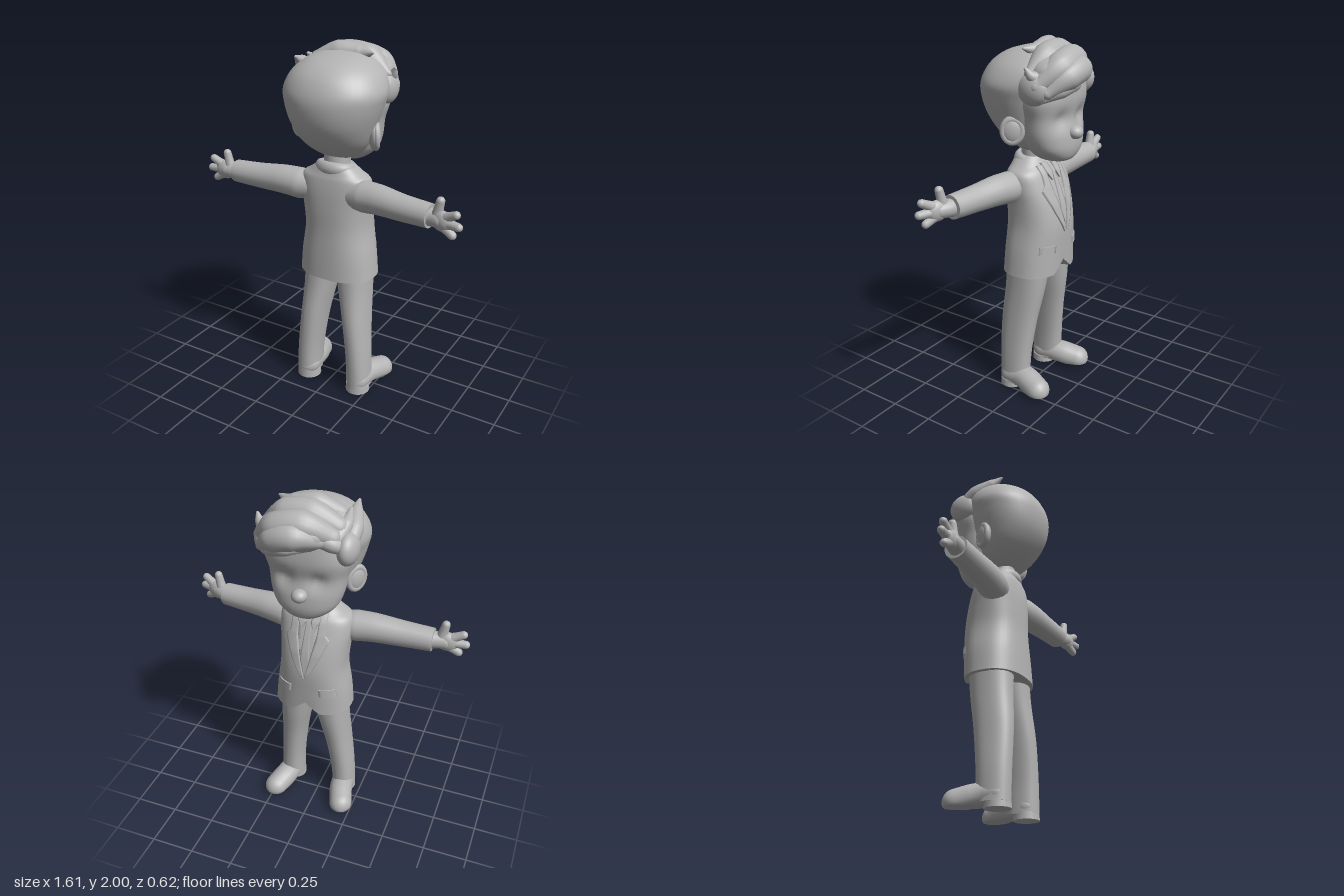
import * as THREE from 'three';

const CX = 0.022; // body centre line
const grey = new THREE.MeshStandardMaterial({ color: 0xb4b4b4 });
grey.name = 'clay grey';

// Closed skin over a list of rings, capped at both ends
function skin(rings) {
  const n = rings[0].length, pos = [], idx = [];
  rings.forEach(r => r.forEach(p => pos.push(p.x, p.y, p.z)));
  for (let i = 0; i < rings.length - 1; i++) for (let j = 0; j < n; j++) {
    const a = i * n + j, b = i * n + (j + 1) % n;
    idx.push(a, a + n, b, b, a + n, b + n);
  }
  [rings[0], rings[rings.length - 1]].forEach((r, end) => {
    const start = pos.length / 3, c = new THREE.Vector3();
    r.forEach(p => { pos.push(p.x, p.y, p.z); c.addScaledVector(p, 1 / n); });
    pos.push(c.x, c.y, c.z);
    for (let j = 0; j < n; j++) {
      const a = start + j, b = start + (j + 1) % n;
      end ? idx.push(a, start + n, b) : idx.push(a, b, start + n);
    }
  });
  const g = new THREE.BufferGeometry();
  g.setAttribute('position', new THREE.Float32BufferAttribute(pos, 3));
  g.setIndex(idx);
  g.computeVertexNormals();
  return g;
}

const power = (v, p) => Math.sign(v) * Math.abs(v) ** p;

// Upright loft through rows of [y, xMin, xMax, zFront, zBack]
function loft(rows, n = 2, tweak = null, steps = 6, segs = 40) {
  const lower = new THREE.CatmullRomCurve3(rows.map(r => new THREE.Vector3(r[1], r[0], r[3])));
  const upper = new THREE.CatmullRomCurve3(rows.map(r => new THREE.Vector3(r[2], r[0], r[4])));
  const rings = [], count = (rows.length - 1) * steps;
  for (let i = 0; i <= count; i++) {
    const a = lower.getPoint(i / count), b = upper.getPoint(i / count), ring = [];
    for (let j = 0; j < segs; j++) {
      const t = j / segs * Math.PI * 2;
      const p = new THREE.Vector3((a.x + b.x) / 2 + (b.x - a.x) / 2 * power(Math.cos(t), 2 / n), (a.y + b.y) / 2,
        (a.z + b.z) / 2 + (b.z - a.z) / 2 * power(Math.sin(t), 2 / n));
      if (tweak) tweak(p);
      ring.push(p);
    }
    rings.push(ring);
  }
  return skin(rings);
}

// Round limb along a curve with changing radius; rounded ends on request
function rod(points, radii, { round = true, tweak = null, segs = 18, steps = 24 } = {}) {
  const curve = new THREE.CatmullRomCurve3(points.map(p => new THREE.Vector3(...p)));
  const frames = curve.computeFrenetFrames(steps), rings = [];
  const addRing = (i, shift, scale) => {
    const f = i / steps * (radii.length - 1), k = Math.min(Math.floor(f), radii.length - 2);
    const r = THREE.MathUtils.lerp(radii[k], radii[k + 1], f - k);
    const c = curve.getPoint(i / steps).addScaledVector(frames.tangents[i], shift * r);
    rings.push(Array.from({ length: segs }, (_, j) => {
      const t = -j / segs * Math.PI * 2;
      const p = c.clone().addScaledVector(frames.normals[i], Math.cos(t) * r * scale)
        .addScaledVector(frames.binormals[i], Math.sin(t) * r * scale);
      if (tweak) tweak(p);
      return p;
    }));
  };
  const dome = [0.1, 0.35, 0.6, 0.85, 1.1, 1.35];
  if (round) dome.forEach(a => addRing(0, -Math.cos(a), Math.sin(a)));
  for (let i = 0; i <= steps; i++) addRing(i, 0, 1);
  if (round) dome.slice().reverse().forEach(a => addRing(steps, Math.cos(a), Math.sin(a)));
  return skin(rings);
}

function ball(x, y, z, rx, ry, rz, turn = 0) {
  return new THREE.SphereGeometry(1, 28, 20).scale(rx, ry, rz).rotateY(turn).translate(x, y, z);
}

// Jacket cross-sections, also used to lay details on its front
const torsoRows = [
  [0.72, -0.2, 0.245, -0.15, 0.18], [0.85, -0.19, 0.23, -0.155, 0.175], [1.0, -0.17, 0.207, -0.16, 0.168],
  [1.12, -0.178, 0.208, -0.14, 0.167], [1.22, -0.19, 0.217, -0.105, 0.162], [1.29, -0.18, 0.212, -0.075, 0.152],
  [1.325, -0.13, 0.17, -0.05, 0.142], [1.37, -0.07, 0.12, -0.02, 0.13]];
const POWER = 2.4;
function frontZ(x, y) {
  let k = 0;
  while (k < torsoRows.length - 2 && torsoRows[k + 1][0] < y) k++;
  const a = torsoRows[k], b = torsoRows[k + 1];
  const [, x0, x1, zf, zb] = a.map((v, i) => THREE.MathUtils.lerp(v, b[i], (y - a[0]) / (b[0] - a[0])));
  const u = Math.min(1, Math.abs((x - (x0 + x1) / 2) / ((x1 - x0) / 2)));
  return (zf + zb) / 2 - (zb - zf) / 2 * (1 - u ** POWER) ** (1 / POWER);
}
// Thin plate on the jacket: rows of [y, inner, outer] measured from the centre line
function plate(rows, side, lift) {
  const rings = [];
  for (let k = 0; k < rows.length - 1; k++) for (let i = k ? 1 : 0; i <= 6; i++) {
    const [y, a, b] = rows[k].map((v, c) => THREE.MathUtils.lerp(v, rows[k + 1][c], i / 6));
    const lo = CX + Math.min(a * side, b * side), hi = CX + Math.max(a * side, b * side);
    const xs = Array.from({ length: 7 }, (_, j) => lo + (hi - lo) * j / 6);
    rings.push([...xs.map(x => new THREE.Vector3(x, y, frontZ(x, y) - lift)),
      ...xs.slice().reverse().map(x => new THREE.Vector3(x, y, frontZ(x, y) + 0.01))]);
  }
  return skin(rings);
}

export function createModel() {
  const model = new THREE.Group();
  const add = (name, geometry) => {
    const m = new THREE.Mesh(geometry, grey);
    m.name = name;
    model.add(m);
  };

  // Jacket with a small cutaway at the front hem
  add('jacket', loft(torsoRows, POWER, p => {
    if (p.z < 0 && p.y < 0.85) p.y += 0.07 * Math.max(0, 1 - Math.abs(p.x - CX) / 0.08) * (0.85 - p.y) / 0.13;
  }));
  add('shirt', plate([[1.0, -0.004, 0.004], [1.18, -0.05, 0.05], [1.32, -0.06, 0.06]], 1, 0.001));
  add('tie', plate([[1.01, -0.003, 0.003], [1.08, -0.026, 0.026], [1.27, -0.014, 0.014], [1.31, -0.024, 0.024]], 1, 0.006));
  add('jacketCollar', new THREE.TorusGeometry(0.084, 0.026, 12, 36).scale(1.05, 0.85, 1.3).rotateX(Math.PI / 2 - 0.2)
    .translate(CX, 1.342, 0.055));
  add('neck', new THREE.CylinderGeometry(0.07, 0.075, 0.16, 24).translate(CX, 1.38, 0.04));
  for (const s of [-1, 1]) {
    add('lapel', plate([[0.96, 0.0, 0.012], [1.08, 0.026, 0.075], [1.2, 0.05, 0.125], [1.23, 0.055, 0.1], [1.33, 0.06, 0.095]], s, 0.008));
    add('shirtCollar', plate([[1.25, 0.03, 0.036], [1.29, 0.014, 0.06], [1.34, 0.02, 0.065]], s, 0.012));
    add('pocketFlap', plate([[0.855, 0.085, 0.17], [0.9, 0.08, 0.165]], s, 0.008));
  }

  // Trousers
  add('rightLeg', loft([[0.03, -0.215, -0.085, -0.02, 0.157], [0.2, -0.207, -0.075, -0.028, 0.16],
    [0.42, -0.188, -0.045, -0.055, 0.16], [0.62, -0.175, -0.005, -0.09, 0.145], [0.8, -0.17, 0.03, -0.11, 0.14]], 2.3));
  add('leftLeg', loft([[0.03, 0.122, 0.255, -0.02, 0.157], [0.2, 0.118, 0.247, -0.028, 0.16],
    [0.42, 0.092, 0.232, -0.055, 0.16], [0.62, 0.052, 0.222, -0.09, 0.145], [0.8, 0.015, 0.22, -0.11, 0.14]], 2.3));

  for (const s of [-1, 1]) {
    const side = s < 0 ? 'right' : 'left';
    // Shoes, splayed outward, with a raised heel
    const heel = CX + s * 0.167, toe = CX + s * 0.213;
    add(side + 'Shoe', rod([[heel, 0.068, 0.09], [heel + s * 0.012, 0.066, -0.01], [toe, 0.042, -0.12]],
      [0.068, 0.067, 0.07, 0.068], { tweak: p => { p.y = Math.max(p.y, p.z > 0.03 ? 0.012 : 0.018); } }));
    add(side + 'Heel', new THREE.CylinderGeometry(0.068, 0.07, 0.04, 24).translate(heel, 0.02, 0.089));

    // Sleeves sweep slightly backward, the left one more, and flare into the shoulder
    const back = s > 0 ? 0.04 : 0;
    add(side + 'Sleeve', rod([[s * 0.1 + 0.01, 1.215, 0.07], [s * 0.2 + 0.01, 1.218, 0.078], [s * 0.3 + 0.01, 1.222, 0.084 + back * 0.2],
      [s * 0.45, 1.217, 0.09 + back * 0.6], [s * 0.615, 1.215, 0.093 + back]],
      [0.07, 0.086, 0.081, 0.071, 0.064], { round: false }));

    // Hand with thumb up and three fingers
    const z = 0.1 + back, slope = s > 0 ? 0.3 : 0.06;
    const finger = (name, x0, y0, x1, y1, r) => add(name, rod([0, 0.5, 1].map(t => {
      const x = x0 + (x1 - x0) * t;
      return [s * x, y0 + (y1 - y0) * t, z + (x - 0.62) * slope];
    }), [r * 1.2, r, r * 0.9], { segs: 12, steps: 8 }));
    add(side + 'Wrist', rod([[s * 0.59, 1.213, z - 0.005], [s * 0.63, 1.213, z], [s * 0.675, 1.213, z + 0.055 * slope]], [0.05, 0.046, 0.042]));
    add(side + 'Palm', ball(s * 0.687, 1.214, z + 0.067 * slope, 0.064, 0.055, 0.036, -s * slope));
    finger(side + 'Thumb', 0.655, 1.235, 0.672, 1.315, 0.025);
    finger(side + 'IndexFinger', 0.7, 1.235, 0.768, 1.27, 0.024);
    finger(side + 'MiddleFinger', 0.71, 1.212, 0.785, 1.212, 0.024);
    finger(side + 'LittleFinger', 0.695, 1.19, 0.752, 1.158, 0.024);

    // Ears flare outward toward the back and face forward
    add(side + 'Ear', ball(CX + s * 0.215, 1.54, 0.03, 0.032, 0.074, 0.06, s * 0.6));
    add(side + 'EarRim', new THREE.TorusGeometry(0.05, 0.016, 10, 28).scale(1, 1.2, 1)
      .rotateY(Math.PI / 2 + s * 0.6).translate(CX + s * 0.222, 1.54, 0.025));
    // Side hair
    add(side + 'TempleHair', ball(CX + s * 0.215, 1.765, -0.1, 0.056, 0.085, 0.09));
  }

  // Skull with the smooth back hair
  add('backHair', loft([[1.4, -0.04, 0.09, 0, 0.07], [1.43, -0.105, 0.15, -0.08, 0.13], [1.5, -0.165, 0.21, -0.12, 0.22],
    [1.6, -0.207, 0.255, -0.14, 0.287], [1.7, -0.237, 0.29, -0.16, 0.31], [1.77, -0.25, 0.303, -0.18, 0.305],
    [1.85, -0.22, 0.27, -0.2, 0.267], [1.91, -0.155, 0.205, -0.16, 0.195], [1.943, -0.08, 0.13, -0.1, 0.1],
    [1.955, -0.005, 0.045, -0.03, 0.02]], 2.1));
  // Face with full cheeks and shallow eye sockets
  add('face', loft([[1.357, 0, 0.045, -0.14, -0.07], [1.375, -0.07, 0.115, -0.19, -0.01], [1.43, -0.14, 0.183, -0.213, 0.03],
    [1.5, -0.17, 0.213, -0.213, 0.05], [1.6, -0.187, 0.23, -0.2, 0.05], [1.7, -0.21, 0.255, -0.21, 0.05],
    [1.82, -0.18, 0.22, -0.2, 0.05]], 2.3, p => {
    if (p.z > -0.05) return;
    for (const s of [-1, 1]) p.z += 0.024 * Math.exp(-(((p.x - CX - s * 0.085) / 0.045) ** 2) - ((p.y - 1.595) / 0.045) ** 2);
  }));
  add('nose', ball(0.02, 1.52, -0.213, 0.042, 0.036, 0.044));

  // Swept quiff made of overlapping locks over a solid core
  add('quiffCore', ball(0.065, 1.84, -0.14, 0.185, 0.1, 0.14));
  const locks = [
    [[[-0.11, 1.89, 0], [0, 1.935, -0.03], [0.11, 1.935, -0.04], [0.195, 1.95, -0.015]], [0.05, 0.063, 0.045, 0.007]],
    [[[-0.13, 1.86, -0.08], [0, 1.91, -0.09], [0.13, 1.9, -0.1], [0.25, 1.84, -0.08]], [0.055, 0.078, 0.075, 0.02]],
    [[[-0.12, 1.83, -0.14], [0.01, 1.885, -0.18], [0.14, 1.86, -0.19], [0.25, 1.78, -0.13]], [0.05, 0.08, 0.08, 0.04]],
    [[[-0.08, 1.82, -0.18], [0.04, 1.85, -0.24], [0.14, 1.82, -0.235], [0.23, 1.75, -0.18]], [0.035, 0.07, 0.066, 0.03]],
    [[[-0.02, 1.78, -0.2], [0.08, 1.785, -0.235], [0.17, 1.76, -0.215], [0.24, 1.71, -0.15]], [0.015, 0.042, 0.042, 0.015]],
    [[[0.2, 1.81, -0.13], [0.26, 1.83, -0.11], [0.285, 1.87, -0.09]], [0.05, 0.03, 0.009]],
    [[[-0.19, 1.78, -0.1], [-0.195, 1.84, -0.02], [-0.175, 1.885, 0.07], [-0.17, 1.92, 0.13]], [0.045, 0.047, 0.035, 0.008]],
    [[[-0.14, 1.82, -0.12], [-0.165, 1.87, -0.05], [-0.165, 1.92, 0.02]], [0.045, 0.038, 0.009]],
    [[[-0.05, 1.83, -0.17], [-0.13, 1.805, -0.16], [-0.2, 1.76, -0.11]], [0.04, 0.042, 0.03]]];
  locks.forEach(([points, radii]) => add('hairLock', rod(points, radii)));

  return model;
}
